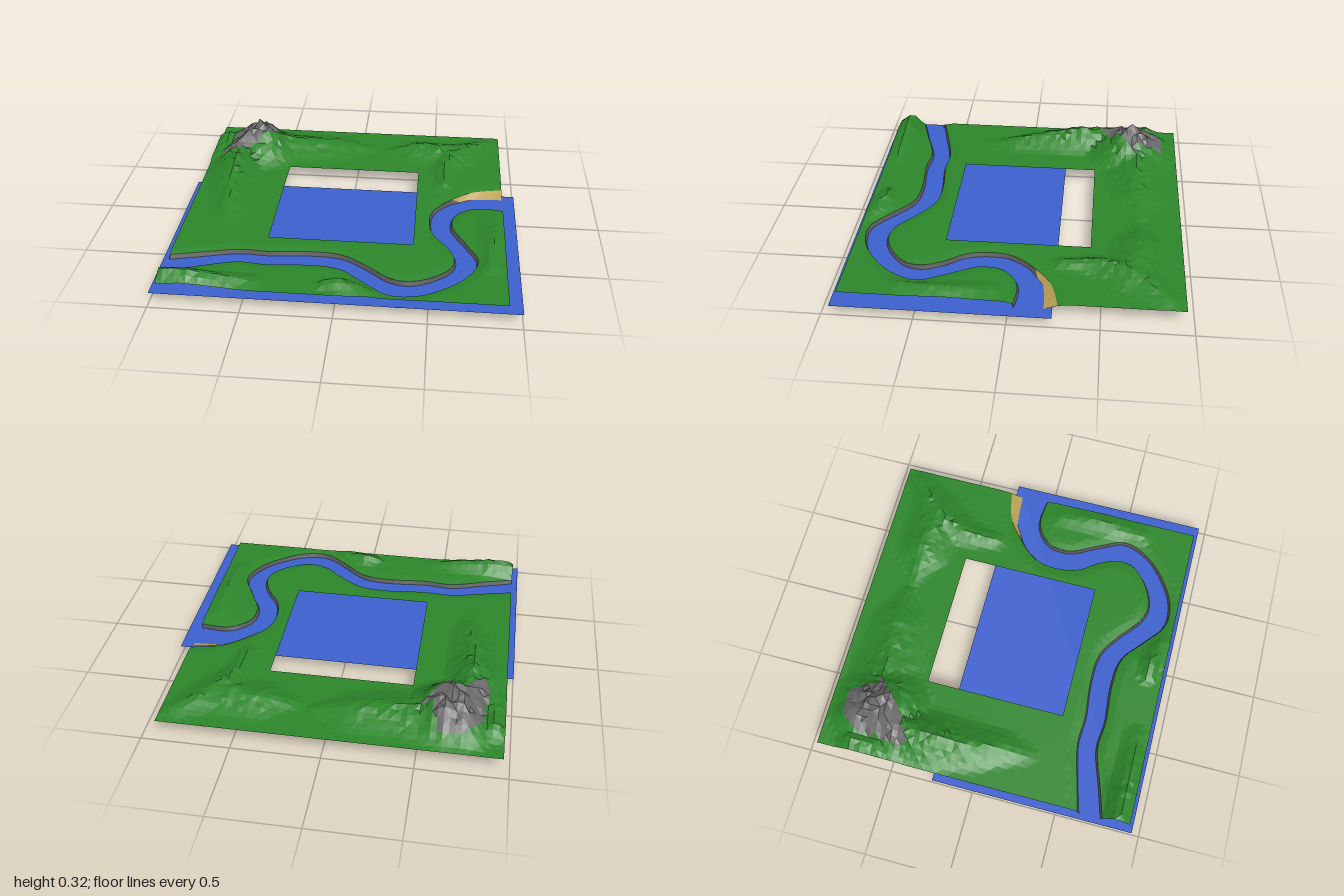
import * as THREE from 'three';

const X0 = -0.963, X1 = 0.925, Z0 = -0.955, Z1 = 0.93; // land border
const HOLE = { x0: -0.435, x1: 0.4, z0: -0.43, z1: 0.405 };
const BASE = 0.096, EDGE = 0.085, WATER = 0.06, STEP = 0.033, SAMPLES = 144;

// River banks, paired point by point (x, z)
const northStart = [[-1, 0.63], [-0.8, 0.58], [-0.58, 0.53], [-0.4, 0.535], [-0.18, 0.515], [0, 0.53],
  [0.14, 0.615], [0.27, 0.72], [0.38, 0.75], [0.5, 0.71], [0.61, 0.615], [0.635, 0.51], [0.59, 0.39],
  [0.51, 0.27], [0.485, 0.13], [0.51, 0], [0.61, -0.12]];
const south = [[-1, 0.78], [-0.8, 0.72], [-0.58, 0.652], [-0.4, 0.663], [-0.18, 0.647], [0, 0.668],
  [0.14, 0.775], [0.26, 0.87], [0.37, 0.888], [0.51, 0.845], [0.685, 0.706], [0.77, 0.53], [0.717, 0.385],
  [0.63, 0.214], [0.62, 0.13], [0.64, 0.05], [0.717, -0.02], [0.81, -0.043], [0.95, -0.025]];

const sample = (pts) => new THREE.SplineCurve(pts.map(([x, z]) => new THREE.Vector2(x, z))).getPoints(SAMPLES);
const northLand = sample([...northStart, [0.75, -0.225], [0.95, -0.275]]); // land stops behind the beach
const northBed = sample([...northStart, [0.73, -0.15], [0.95, -0.145]]);
const southBank = sample(south);
const riverOutline = [...northLand, ...[...southBank].reverse()];

const rockOutline = [[-0.74, -0.87], [-0.61, -0.855], [-0.57, -0.72], [-0.51, -0.68], [-0.66, -0.535],
  [-0.83, -0.44], [-0.89, -0.455], [-0.85, -0.59], [-0.85, -0.75]].map(([x, z]) => new THREE.Vector2(x, z));

// Ridge lines: each node is x, z, height, radius
const ridges = [
  [[-0.74, -0.75, 0.13, 0.2], [-0.66, -0.65, 0.21, 0.3], [-0.78, -0.52, 0.12, 0.2]],
  [[-0.6, -0.69, 0.1, 0.24], [-0.38, -0.69, 0.073, 0.22], [-0.15, -0.71, 0.06, 0.19], [0.08, -0.72, 0.015, 0.06]],
  [[0.17, -0.7, 0.01, 0.05], [0.4, -0.7, 0.065, 0.18], [0.64, -0.68, 0.07, 0.19], [0.84, -0.85, 0.03, 0.1]],
  [[0.62, -0.65, 0.07, 0.18], [0.57, -0.45, 0.05, 0.1], [0.57, -0.28, 0.03, 0.07]],
  [[-0.78, -0.5, 0.12, 0.19], [-0.78, -0.3, 0.125, 0.19], [-0.75, -0.05, 0.07, 0.16], [-0.72, 0.1, 0.05, 0.12], [-0.72, 0.26, 0.01, 0.07]],
  [[-0.9, -0.75, 0.07, 0.12], [-0.92, -0.5, 0.04, 0.1]],
  [[-0.94, 0.85, 0.07, 0.1], [-0.82, 0.86, 0.08, 0.11], [-0.62, 0.86, 0.05, 0.1], [-0.45, 0.85, 0.02, 0.08]],
  [[-0.06, 0.84, 0.035, 0.06], [0.02, 0.84, 0.055, 0.08], [0.16, 0.88, 0.02, 0.08]],
  [[0.84, 0.1, 0.02, 0.09], [0.86, 0.35, 0.035, 0.09], [0.84, 0.6, 0.02, 0.08]],
];

const hash = (x, z) => {
  const s = Math.sin(x * 127.1 + z * 311.7) * 43758.5453;
  return s - Math.floor(s);
};

function inside(x, z, poly) {
  let hit = false;
  for (let i = 0, j = poly.length - 1; i < poly.length; j = i++) {
    const a = poly[i], b = poly[j];
    if ((a.y > z) !== (b.y > z) && x < (b.x - a.x) * (z - a.y) / (b.y - a.y) + a.x) hit = !hit;
  }
  return hit;
}

// Closest point on either bank
function nearestBank(x, z) {
  let best = Infinity, point = null;
  for (const bank of [northLand, southBank]) {
    for (let i = 0; i < SAMPLES; i++) {
      const a = bank[i], b = bank[i + 1], dx = b.x - a.x, dz = b.y - a.y;
      const t = THREE.MathUtils.clamp(((x - a.x) * dx + (z - a.y) * dz) / (dx * dx + dz * dz), 0, 1);
      const px = a.x + t * dx, pz = a.y + t * dz, d = Math.hypot(x - px, z - pz);
      if (d < best) { best = d; point = [px, pz]; }
    }
  }
  return { d: best, point };
}

function hillHeight(x, z) {
  let h = 0;
  for (const line of ridges) {
    for (let i = 0; i < line.length - 1; i++) {
      const [ax, az, ah, ar] = line[i], [bx, bz, bh, br] = line[i + 1];
      const dx = bx - ax, dz = bz - az;
      const t = THREE.MathUtils.clamp(((x - ax) * dx + (z - az) * dz) / (dx * dx + dz * dz), 0, 1);
      const k = Math.max(0, 1 - Math.hypot(x - ax - t * dx, z - az - t * dz) / (ar + (br - ar) * t));
      h = Math.max(h, (ah + (bh - ah) * t) * (0.5 * k + 0.5 * k * k * (3 - 2 * k)));
    }
  }
  return h * (0.87 + 0.22 * hash(x, z));
}

// Grid lines that fall exactly on the given stops
function gridLines(stops) {
  const out = [stops[0]];
  for (let i = 1; i < stops.length; i++) {
    const n = Math.round((stops[i] - stops[i - 1]) / STEP);
    for (let k = 1; k <= n; k++) out.push(stops[i - 1] + (stops[i] - stops[i - 1]) * k / n);
  }
  return out;
}

function makeMesh(name, color, positions, index) {
  let g = new THREE.BufferGeometry();
  g.setAttribute('position', new THREE.Float32BufferAttribute(positions, 3));
  g.setIndex(index);
  g = g.toNonIndexed();
  g.computeVertexNormals();
  const mesh = new THREE.Mesh(g, new THREE.MeshStandardMaterial({ color, flatShading: true, side: THREE.DoubleSide }));
  mesh.name = name;
  return mesh;
}

// Skin over rows of equally many points
function loft(name, color, rows) {
  const n = rows[0].length, index = [];
  for (let i = 0; i < rows.length - 1; i++) {
    for (let j = 0; j < n - 1; j++) {
      const a = i * n + j, c = a + n;
      index.push(a, a + 1, c, a + 1, c + 1, c);
    }
  }
  return makeMesh(name, color, rows.flat(2), index);
}

// Land with a square opening and the river cut out; the summit is rock
function buildLand() {
  const xs = gridLines([X0, HOLE.x0, HOLE.x1, X1]), zs = gridLines([Z0, HOLE.z0, HOLE.z1, Z1]);
  const nx = xs.length, pos = [], wet = [], grass = [], rock = [];
  for (const z of zs) {
    for (const x of xs) {
      const isWet = inside(x, z, riverOutline), near = nearestBank(x, z);
      wet.push(isWet);
      if (isWet) {
        const px = x === X0 || x === X1 ? x : THREE.MathUtils.clamp(near.point[0], X0, X1);
        pos.push(px, EDGE, near.point[1]);
      } else {
        const k = Math.min(1, near.d / 0.05);
        pos.push(x, EDGE + (BASE - EDGE) * k + hillHeight(x, z) * k, z);
      }
    }
  }
  for (let j = 0; j < zs.length - 1; j++) {
    for (let i = 0; i < nx - 1; i++) {
      const cx = (xs[i] + xs[i + 1]) / 2, cz = (zs[j] + zs[j + 1]) / 2;
      if (cx > HOLE.x0 && cx < HOLE.x1 && cz > HOLE.z0 && cz < HOLE.z1) continue;
      const a = j * nx + i, b = a + 1, c = a + nx, d = c + 1;
      const tris = (i + j) % 2 ? [[a, c, b], [b, c, d]] : [[a, c, d], [a, d, b]];
      for (const t of tris) {
        if (t.every((v) => wet[v])) continue;
        const mx = (pos[t[0] * 3] + pos[t[1] * 3] + pos[t[2] * 3]) / 3;
        const mz = (pos[t[0] * 3 + 2] + pos[t[1] * 3 + 2] + pos[t[2] * 3 + 2]) / 3;
        (inside(mx, mz, rockOutline) ? rock : grass).push(...t);
      }
    }
  }
  return [makeMesh('grassLand', 0x2c862a, pos, grass), makeMesh('rockyPeak', 0x6b696b, pos, rock)];
}

export function createModel() {
  const model = new THREE.Group();
  model.name = 'riverLandscape';
  model.add(...buildLand());

  const clampX = (x) => THREE.MathUtils.clamp(x, X0, X1);
  const beachStart = Math.round(SAMPLES * 15.5 / 18);
  const bedTop = (i) => EDGE - 0.042 * THREE.MathUtils.smoothstep(i, SAMPLES * 16 / 18, SAMPLES * 17 / 18);

  // River bed: trough with slightly flared walls
  const bedRows = northBed.map((n, i) => {
    const s = southBank[i], top = bedTop(i);
    const profile = [[0, top], [0.07, top * 0.7], [0.09, 0], [0.91, 0], [0.93, WATER], [1, EDGE]];
    return profile.map(([f, y]) => [clampX(n.x + (s.x - n.x) * f), y, n.y + (s.y - n.y) * f]);
  });
  model.add(loft('riverBed', 0x5a5a5a, bedRows));

  // Beach sloping from the land into the water
  const beachRows = [];
  for (let i = beachStart; i <= SAMPLES; i++) {
    const a = northLand[i], b = northBed[i];
    beachRows.push([[clampX(a.x), EDGE + 0.004, a.y], [clampX((a.x + b.x) / 2), (EDGE + bedTop(i)) / 2, (a.y + b.y) / 2],
      [clampX(b.x), bedTop(i), b.y]].reverse());
  }
  model.add(loft('sandBeach', 0xb9a055, beachRows.map((r) => r.reverse())));

  // Flat water sheet
  const water = new THREE.Mesh(new THREE.PlaneGeometry(2, 1.195).rotateX(-Math.PI / 2),
    new THREE.MeshStandardMaterial({ color: 0x3b5fcd, side: THREE.DoubleSide }));
  water.position.set(0, WATER, 0.3555);
  water.name = 'water';
  model.add(water);
  return model;
}
